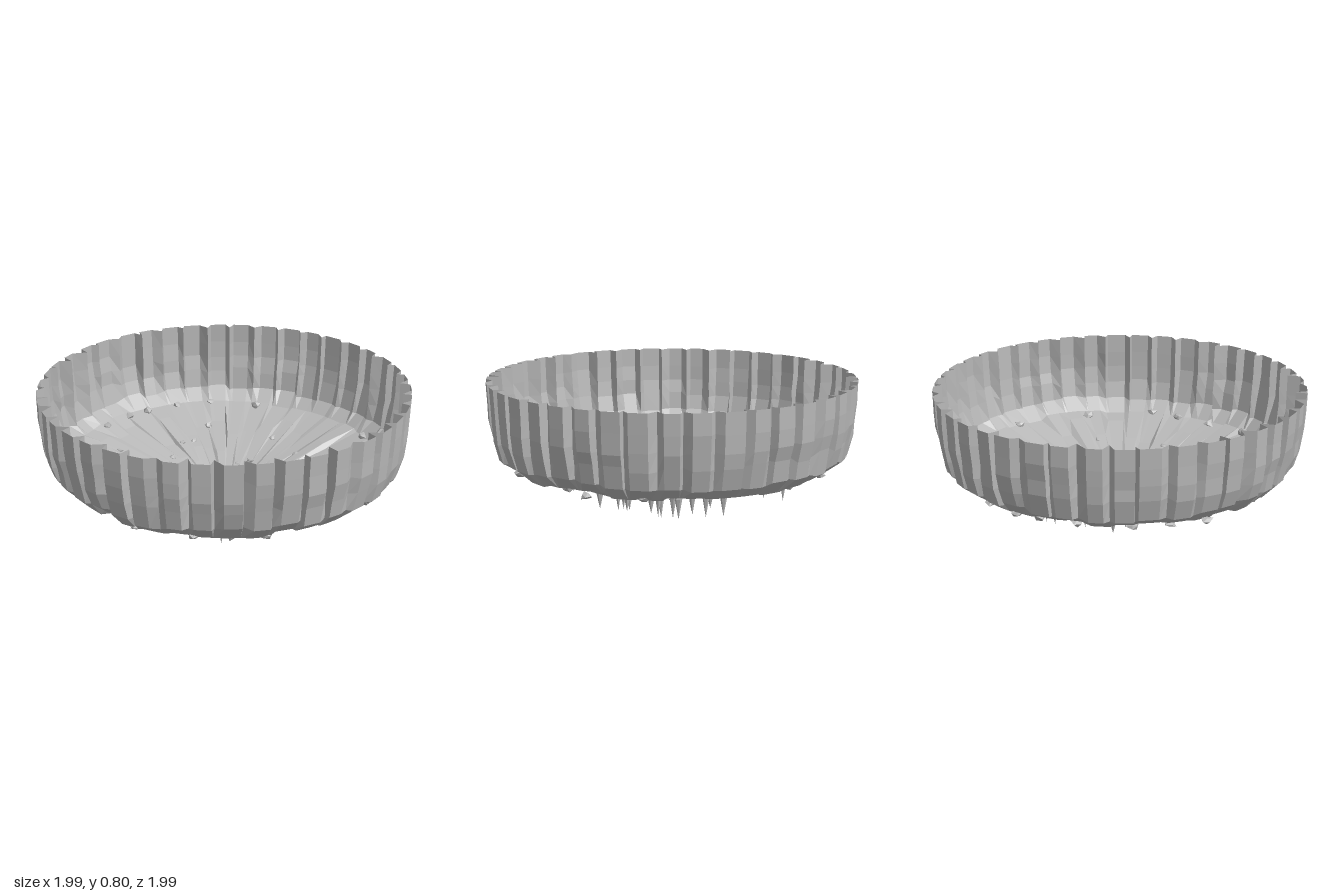
import * as THREE from 'three';

// small seeded generator
let seed = 7;
function rnd() {
  seed = (seed * 16807) % 2147483647;
  return seed / 2147483647;
}
const jit = (a) => (rnd() * 2 - 1) * a;
const floorY = (r) => 0.12 + 0.27 * r;

// Sheet built from rings of points (each ring an array of Vector3, closed)
function sheet(rings, material, name) {
  const n = rings[0].length;
  const pos = rings.flatMap((ring) => ring.flatMap((p) => [p.x, p.y, p.z]));
  const index = [];
  for (let i = 0; i < rings.length - 1; i++) {
    for (let j = 0; j < n; j++) {
      const k = (j + 1) % n;
      const a = i * n + j, b = i * n + k, c = a + n, d = b + n;
      index.push(a, c, b, b, c, d);
    }
  }
  const g = new THREE.BufferGeometry();
  g.setAttribute('position', new THREE.Float32BufferAttribute(pos, 3));
  g.setIndex(index);
  const flat = g.toNonIndexed();
  flat.computeVertexNormals();
  const mesh = new THREE.Mesh(flat, material);
  mesh.name = name;
  return mesh;
}

// Rough pebble: squashed icosahedron with corners moved by a position rule
function pebble(size, phase) {
  const g = new THREE.IcosahedronGeometry(size, 0);
  const p = g.attributes.position;
  const v = new THREE.Vector3();
  for (let i = 0; i < p.count; i++) {
    v.fromBufferAttribute(p, i);
    const q = v.clone().divideScalar(size);
    const s = 1 + 0.3 * Math.sin(q.x * 5 + q.y * 3 + q.z * 7 + phase);
    p.setXYZ(i, v.x * s, v.y * s * 0.75, v.z * s);
  }
  g.computeVertexNormals();
  return g;
}

export function createModel() {
  seed = 7;
  const stone = new THREE.MeshStandardMaterial({ color: 0xb8b8b8 });
  stone.name = 'grey stone';
  stone.flatShading = true;
  stone.side = THREE.DoubleSide;
  const model = new THREE.Group();
  model.name = 'stoneBasin';

  // Angular columns: each panel has two outer corners and one groove point
  const panels = 42;
  const step = (Math.PI * 2) / panels;
  const columns = [];
  for (let i = 0; i < panels; i++) {
    const a = i * step + jit(0.02);
    const gap = 0.022 + rnd() * 0.016;
    const id = { panel: i, depth: 0 };
    columns.push({ ...id, a: a - step / 2 + gap });
    columns.push({ ...id, a: a + step / 2 - gap });
    columns.push({ ...id, a: (i + 0.5) * step + jit(0.012), depth: 0.5 + rnd() * 0.7 });
  }
  const at = (r, y, a) => new THREE.Vector3(Math.sin(a) * r, y, Math.cos(a) * r);

  // Wall rows: radius, height, groove depth, roughness
  const rows = [
    [0.997, 0.8, 0.055, 0.002],
    [0.995, 0.69, 0.055, 0.003],
    [0.988, 0.6, 0.05, 0.006],
    [0.975, 0.52, 0.04, 0.008],
    [0.948, 0.42, 0.025, 0.01],
    [0.868, 0.355, 0.0, 0.008],
  ];
  const wallRings = rows.map(([r, y, groove, rough], row) => {
    const dr = Array.from({ length: panels }, () => jit(rough));
    const dy = Array.from({ length: panels }, () => (row ? jit(rough * 2) : 0));
    return columns.map((c) =>
      at(r + Math.min(dr[c.panel], 0.999 - r) - groove * c.depth, y + dy[c.panel], c.a));
  });
  model.add(sheet(wallRings, stone, 'groovedWall'));

  // Shallow conical floor with radial creases, sharing the wall's lower ring
  const floorRings = [wallRings[rows.length - 1]];
  for (const [r, rough] of [[0.66, 0.014], [0.4, 0.01], [0.18, 0.005]]) {
    const dy = Array.from({ length: panels }, () => jit(rough));
    const dr = Array.from({ length: panels }, () => jit(r * 0.2));
    floorRings.push(columns.map((c) => {
      const rr = r + dr[c.panel];
      return at(rr, floorY(rr) + dy[c.panel], c.a);
    }));
  }
  floorRings.push(columns.map((c) => at(0.001, floorY(0), c.a)));
  model.add(sheet(floorRings, stone, 'creasedFloor'));

  // Hanging spikes with a small stone cap showing through the floor: x, z
  const spikes = [
    [-0.33, -0.56], [0.07, -0.51], [0.14, -0.49], [0.3, -0.57], [-0.06, -0.42],
    [-0.28, -0.37], [-0.07, -0.26], [-0.22, -0.12], [-0.04, -0.11], [0.04, -0.11],
    [0.52, -0.23], [0.23, -0.19], [0.3, -0.16], [-0.41, -0.1], [-0.39, 0],
    [-0.06, -0.01], [0.08, 0], [0.51, 0], [-0.3, 0.06], [-0.15, 0.14],
    [-0.01, 0.06], [0.06, 0.08], [0.3, 0.13], [-0.61, 0.21], [-0.01, 0.24],
    [0.08, 0.27], [0.15, 0.24], [0.15, 0.3], [0.39, 0.26], [0.42, 0.4],
    [-0.19, 0.39], [-0.13, 0.36], [-0.36, 0.47], [0.05, 0.54],
  ];
  spikes.forEach(([x, z], i) => {
    const r = Math.hypot(x, z);
    const y = floorY(r);
    const length = r < 0.065 ? y : r < 0.15 ? 0.1 + rnd() * 0.03 : 0.075 + rnd() * 0.045;
    const spike = new THREE.Group();
    spike.name = 'hangingSpike';
    const cone = new THREE.Mesh(new THREE.ConeGeometry(0.02, length, 6), stone);
    cone.name = 'spikeCone';
    cone.rotation.set(Math.PI, rnd() * 6, 0);
    cone.position.y = -length / 2;
    const cap = new THREE.Mesh(pebble(0.021, i), stone);
    cap.name = 'spikeCap';
    spike.add(cone, cap);
    spike.position.set(x, y, z);
    model.add(spike);
  });

  // Loose rocks lodged along the floor's edge: x, z
  const rocks = [
    [-0.08, -0.84], [0.05, -0.85], [0.24, -0.82], [0.44, -0.74], [-0.27, -0.79],
    [-0.52, -0.67], [-0.66, -0.55], [-0.79, -0.42], [-0.84, -0.05], [-0.79, 0.35],
    [-0.62, 0.6], [-0.47, 0.71], [-0.33, 0.8], [-0.09, 0.83], [0.13, 0.83],
    [0.3, 0.81], [0.6, 0.56], [0.77, 0.47], [0.84, 0.19], [0.63, -0.54],
  ];
  rocks.forEach(([x, z], i) => {
    const rock = new THREE.Mesh(pebble(0.029, i * 1.7), stone);
    rock.name = 'edgeRock';
    rock.position.set(x, 0.352, z);
    rock.rotation.y = rnd() * 6;
    model.add(rock);
  });

  return model;
}
